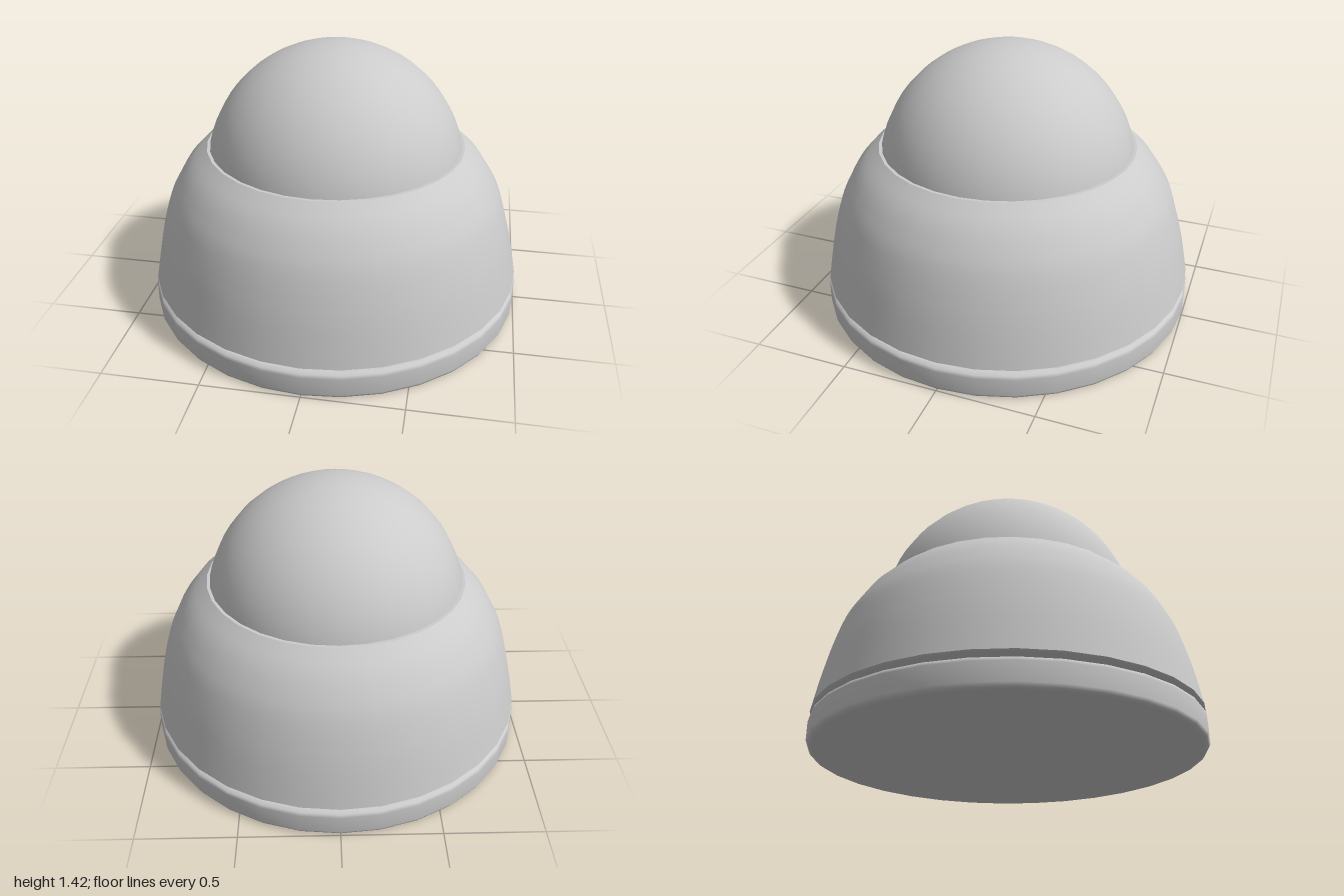
import * as THREE from 'three';

const SEGMENTS = 32;
const material = new THREE.MeshStandardMaterial({ color: 0xcccccc });

// Turned part; each profile runs bottom to top on the outside, with a hard edge between profiles
function turned(name, ...profiles) {
  const part = new THREE.Group();
  part.name = name;
  for (const points of profiles) {
    const profile = points.map(([r, y]) => new THREE.Vector2(r, y));
    const mesh = new THREE.Mesh(new THREE.LatheGeometry(profile, SEGMENTS), material);
    mesh.name = name + 'Surface';
    part.add(mesh);
  }
  return part;
}

export function createModel() {
  const model = new THREE.Group();
  model.name = 'domedHousing';

  // Base plate with softened rims
  model.add(turned('basePlate',
    [[0, 0], [0.975, 0]],
    [[0.975, 0], [0.991, 0.005], [1, 0.022], [1, 0.115], [0.994, 0.132], [0.975, 0.14]],
    [[0.975, 0.14], [0.89, 0.148], [0, 0.148]]));

  // Recessed neck between plate and shell
  model.add(turned('neck', [[0.89, 0.14], [0.89, 0.165]]));

  // Bell-shaped shell, bulging towards the shoulder
  const shellCurve = new THREE.SplineCurve([
    [0.995, 0.168], [0.948, 0.4], [0.888, 0.6], [0.83, 0.715], [0.765, 0.805], [0.68, 0.885],
  ].map(([r, y]) => new THREE.Vector2(r, y)));
  model.add(turned('shell',
    [[0.89, 0.156], [0.985, 0.16], [0.995, 0.168]],
    shellCurve.getPoints(20).map((p) => [p.x, p.y]),
    [[0.68, 0.885], [0.6, 0.885]]));

  // Spherical cap seated in the shell
  const radius = 0.68;
  const cap = new THREE.Mesh(
    new THREE.SphereGeometry(radius, SEGMENTS, 14, Math.PI / 2, Math.PI * 2, 0, Math.acos(0.14 / radius)), material);
  cap.name = 'domeCap';
  cap.position.y = 0.74;
  model.add(cap);

  return model;
}
